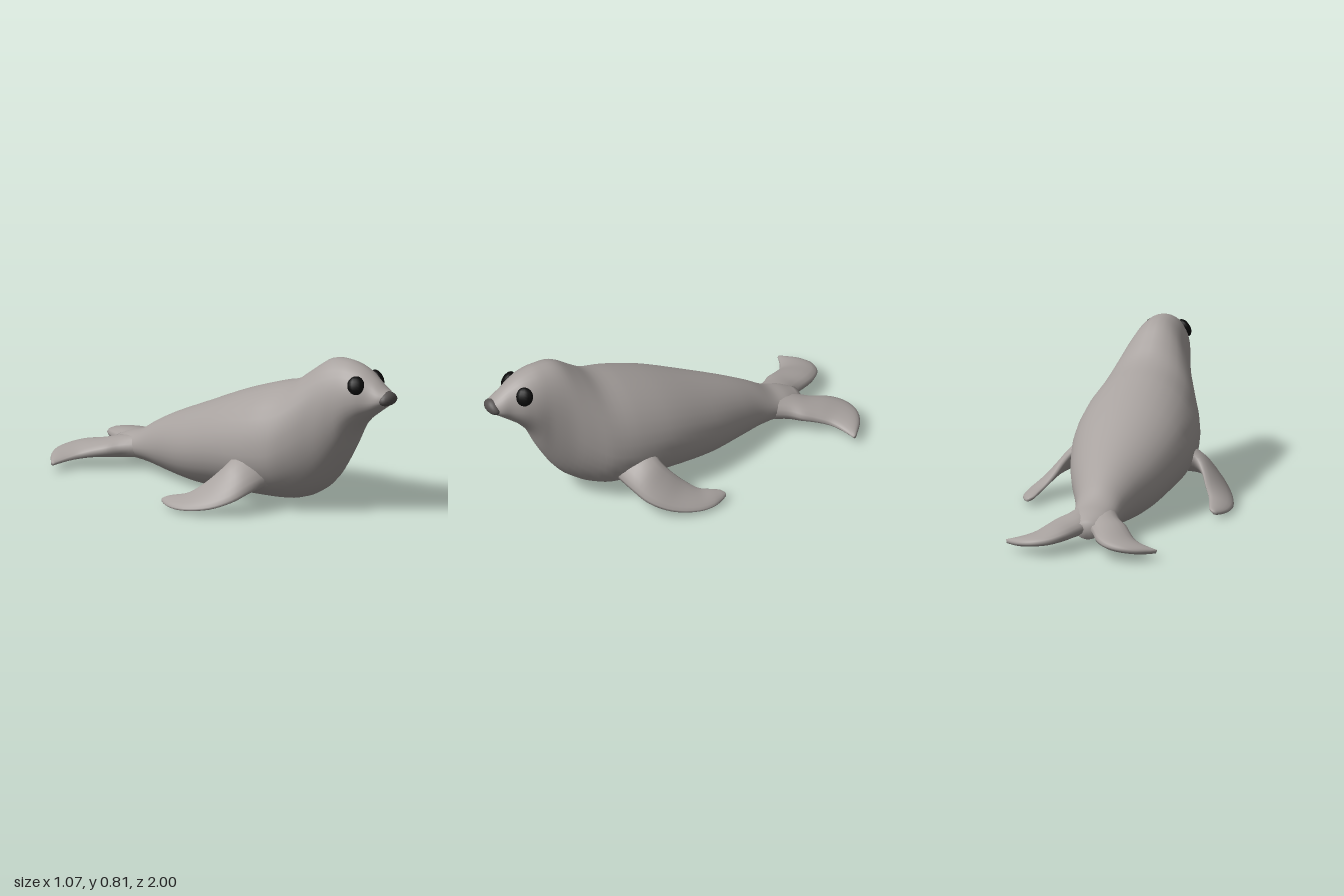
import * as THREE from 'three';

const fur = new THREE.MeshStandardMaterial({ name: 'grey fur', color: 0xa8a29f });
const noseSkin = new THREE.MeshStandardMaterial({ name: 'dark nose', color: 0x555150 });
const eyeBlack = new THREE.MeshStandardMaterial({ name: 'eye black', color: 0x0a0a0a });

// Skin a list of closed rings (arrays of Vector3) and close both ends.
function skin(rings) {
  const n = rings[0].length;
  const pts = rings.flat();
  const index = [];
  for (let i = 0; i < rings.length - 1; i++) {
    for (let j = 0; j < n; j++) {
      const a = i * n + j, b = i * n + (j + 1) % n;
      index.push(a, b, a + n, b, b + n, a + n);
    }
  }
  for (const end of [0, rings.length - 1]) {
    const centre = new THREE.Vector3();
    rings[end].forEach((p) => centre.addScaledVector(p, 1 / n));
    const c = pts.push(centre) - 1;
    for (let j = 0; j < n; j++) {
      const a = end * n + j, b = end * n + (j + 1) % n;
      if (end) index.push(a, b, c); else index.push(b, a, c);
    }
  }
  // Make the faces point outward, whichever way the rings run.
  let volume = 0;
  for (let i = 0; i < index.length; i += 3) {
    const [a, b, c] = [0, 1, 2].map((k) => pts[index[i + k]]);
    volume += a.dot(new THREE.Vector3().crossVectors(b, c));
  }
  if (volume < 0) index.reverse();
  const geo = new THREE.BufferGeometry().setFromPoints(pts);
  geo.setIndex(index);
  geo.computeVertexNormals();
  return geo;
}

const curve = (points) => new THREE.CatmullRomCurve3(points.map((p) => new THREE.Vector3(...p)));

// Body stations: z, top y, bottom y, half width, height of the widest point
const BODY = [
  [0.975, 0.688, 0.622, 0.045, 0.65],
  [0.94, 0.705, 0.598, 0.066, 0.645],
  [0.89, 0.742, 0.56, 0.08, 0.635],
  [0.83, 0.778, 0.512, 0.11, 0.63],
  [0.77, 0.8, 0.44, 0.131, 0.61],
  [0.7, 0.811, 0.3, 0.148, 0.57],
  [0.6, 0.798, 0.15, 0.185, 0.46],
  [0.5, 0.728, 0.073, 0.235, 0.37],
  [0.4, 0.658, 0.037, 0.278, 0.31],
  [0.25, 0.61, 0.024, 0.302, 0.29],
  [0.05, 0.535, 0.015, 0.293, 0.27],
  [-0.2, 0.422, 0.003, 0.235, 0.21],
  [-0.4, 0.33, 0.018, 0.165, 0.17],
  [-0.52, 0.265, 0.036, 0.127, 0.14],
  [-0.62, 0.2, 0.045, 0.112, 0.12],
  [-0.7, 0.175, 0.045, 0.105, 0.11],
  [-0.78, 0.14, 0.05, 0.06, 0.095],
];

function bodyGeometry() {
  const heights = curve(BODY.map(([z, top, bottom]) => [top, bottom, z]));
  const widths = curve(BODY.map(([z, , , w, mid]) => [w, mid, z]));
  const rings = [];
  for (let i = 0; i <= 64; i++) {
    const { x: top, y: bottom, z } = heights.getPoint(i / 64);
    const { x: w, y: mid } = widths.getPoint(i / 64);
    const ring = [];
    for (let j = 0; j < 32; j++) {
      const a = (j / 32) * Math.PI * 2, s = Math.sin(a);
      ring.push(new THREE.Vector3(w * Math.cos(a), mid + s * (s > 0 ? top - mid : mid - bottom), z));
    }
    rings.push(ring);
  }
  return skin(rings);
}

// Flipper stations: one edge x,y,z, the other edge x,y,z, thickness
const FORE = [
  [0.22, 0.14, 0.37, 0.22, 0.29, 0.18, 0.13],
  [0.33, 0.125, 0.35, 0.31, 0.24, 0.18, 0.09],
  [0.42, 0.085, 0.305, 0.355, 0.185, 0.14, 0.06],
  [0.49, 0.045, 0.21, 0.388, 0.125, 0.08, 0.045],
  [0.532, 0.025, 0.08, 0.42, 0.08, 0.02, 0.036],
  [0.53, 0.022, -0.01, 0.44, 0.06, -0.05, 0.032],
  [0.508, 0.025, -0.07, 0.452, 0.05, -0.085, 0.026],
  [0.49, 0.03, -0.1, 0.47, 0.042, -0.103, 0.016],
];
const HIND = [
  [0.105, 0.12, -0.58, -0.01, 0.12, -0.62, 0.12],
  [0.145, 0.11, -0.66, 0.0, 0.105, -0.74, 0.11],
  [0.19, 0.1, -0.71, 0.04, 0.095, -0.82, 0.095],
  [0.225, 0.085, -0.77, 0.085, 0.09, -0.92, 0.08],
  [0.26, 0.07, -0.82, 0.145, 0.08, -0.98, 0.065],
  [0.3, 0.06, -0.85, 0.22, 0.07, -1.0, 0.052],
  [0.345, 0.052, -0.872, 0.3, 0.058, -0.975, 0.04],
  [0.388, 0.046, -0.888, 0.383, 0.046, -0.908, 0.02],
];

function flipperGeometry(stations, side) {
  const front = curve(stations.map((s) => s.slice(0, 3)));
  const back = curve(stations.map((s) => s.slice(3, 6)));
  const thick = curve(stations.map((s, i) => [s[6], i, 0]));
  const middle = (t) => front.getPoint(t).lerp(back.getPoint(t), 0.5);
  const rings = [];
  for (let i = 0; i <= 28; i++) {
    const t = i / 28;
    const centre = middle(t);
    const half = front.getPoint(t).sub(centre);
    const along = middle(Math.min(1, t + 0.02)).sub(middle(Math.max(0, t - 0.02)));
    const up = new THREE.Vector3().crossVectors(half, along).setLength(thick.getPoint(t).x / 2);
    const ring = [];
    for (let j = 0; j < 16; j++) {
      const a = (j / 16) * Math.PI * 2;
      const p = centre.clone().addScaledVector(half, Math.cos(a)).addScaledVector(up, Math.sin(a));
      p.x *= side;
      ring.push(p);
    }
    rings.push(ring);
  }
  return skin(rings);
}

export function createModel() {
  const model = new THREE.Group();
  model.name = 'seal';
  const add = (name, geometry, material) => {
    const mesh = new THREE.Mesh(geometry, material);
    mesh.name = name;
    model.add(mesh);
    return mesh;
  };

  add('body', bodyGeometry(), fur);

  // Nose pad, wider towards its lower edge
  const noseGeo = new THREE.SphereGeometry(1, 20, 14);
  const p = noseGeo.attributes.position;
  for (let i = 0; i < p.count; i++) p.setX(i, p.getX(i) * (1 - 0.3 * p.getY(i)));
  noseGeo.scale(0.058, 0.037, 0.037);
  noseGeo.computeVertexNormals();
  add('nose', noseGeo, noseSkin).position.set(0, 0.657, 0.963);

  for (const side of [1, -1]) {
    const label = side > 0 ? 'left' : 'right';
    add(label + 'ForeFlipper', flipperGeometry(FORE, side), fur);
    add(label + 'HindFlipper', flipperGeometry(HIND, side), fur);

    // Eye: a flattened ball set into the side of the head
    const eye = add(label + 'Eye', new THREE.SphereGeometry(1, 12, 10), eyeBlack);
    eye.scale.set(0.044, 0.048, 0.026);
    eye.position.set(side * 0.086, 0.717, 0.828);
    eye.lookAt(side * 0.786, 1.167, 1.378);
  }
  return model;
}
